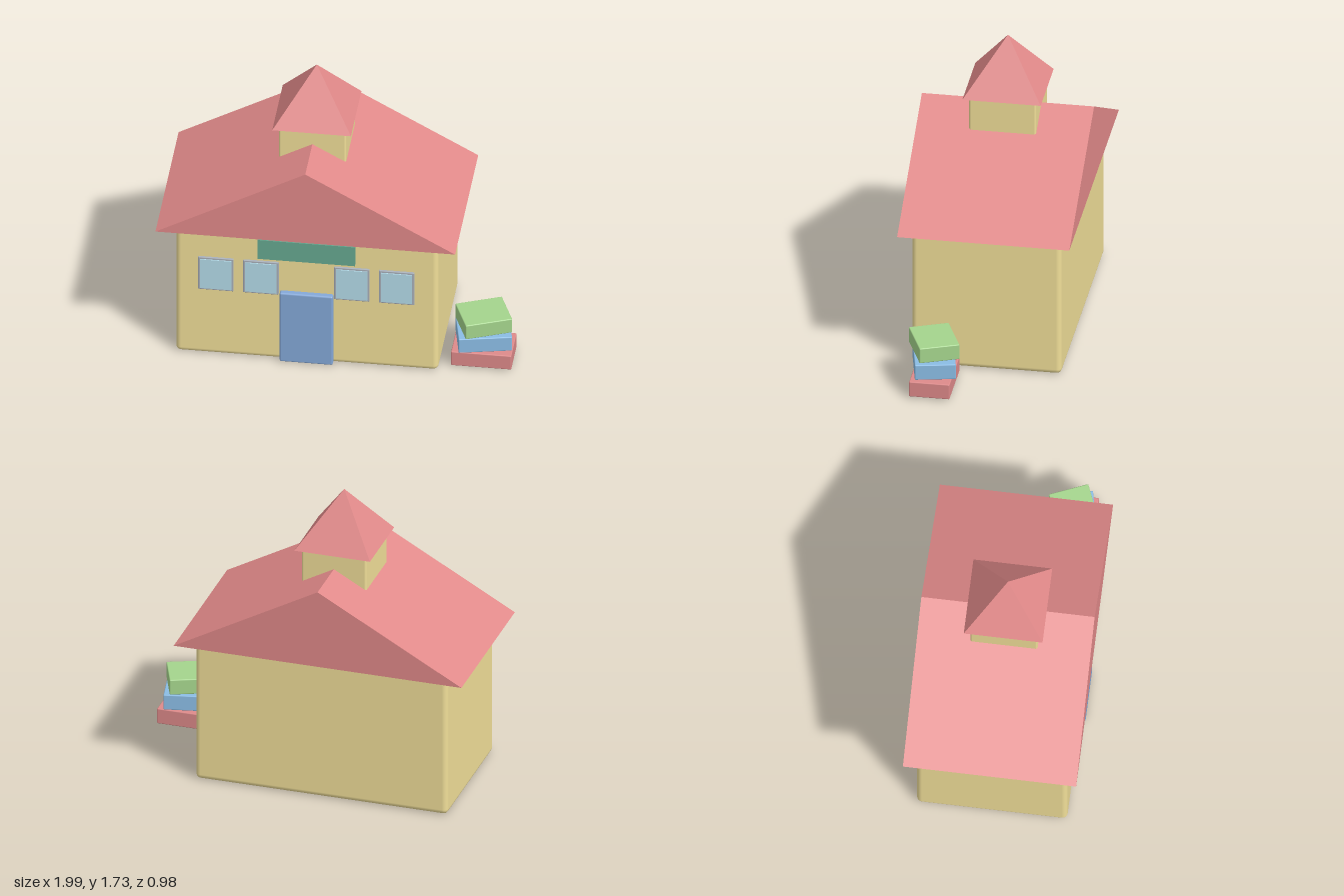
import * as THREE from 'three';
import { RoundedBoxGeometry } from 'three/addons/geometries/RoundedBoxGeometry.js';

const CX = -0.15; // centre line of the house
const mat = (color, flat = false) => new THREE.MeshStandardMaterial({ color, flatShading: flat });
const wallMat = mat(0xf0de98);
const roofMat = mat(0xe28a8a, true);
const doorMat = mat(0x84a8d8);
const signMat = mat(0x66a890);
const frameMat = mat(0xa9b0ba);
const glassMat = mat(0xb4dcea);

// Box given by its limits; r > 0 rounds the edges
function box(name, material, [x0, x1], [y0, y1], [z0, z1], r = 0) {
  const w = x1 - x0, h = y1 - y0, d = z1 - z0;
  const geo = r > 0 ? new RoundedBoxGeometry(w, h, d, 3, r) : new THREE.BoxGeometry(w, h, d);
  const mesh = new THREE.Mesh(geo, material);
  mesh.name = name;
  mesh.position.set((x0 + x1) / 2, (y0 + y1) / 2, (z0 + z1) / 2);
  return mesh;
}

// Solid gable roof with its ridge along z
function gableRoof() {
  const shape = new THREE.Shape();
  shape.moveTo(-0.845, 0);
  shape.lineTo(0.845, 0);
  shape.lineTo(0, 0.468);
  shape.closePath();
  const geo = new THREE.ExtrudeGeometry(shape, { depth: 0.976, bevelEnabled: false });
  geo.translate(CX, 0.85, -0.488);
  const mesh = new THREE.Mesh(geo, roofMat);
  mesh.name = 'roof';
  return mesh;
}

// Four-sided spire with edges on the diagonals
function spire() {
  const geo = new THREE.ConeGeometry(0.222 * Math.SQRT2, 0.315, 4);
  geo.rotateY(Math.PI / 4);
  const mesh = new THREE.Mesh(geo, roofMat);
  mesh.name = 'towerRoof';
  mesh.position.set(CX, 1.415 + 0.315 / 2, 0);
  return mesh;
}

// Thin frame with a slightly raised pane
function windowUnit(x, index) {
  const g = new THREE.Group();
  g.name = `window${index + 1}`;
  g.add(box('windowFrame', frameMat, [x - 0.1, x + 0.1], [0.443, 0.662], [0.415, 0.435], 0.004));
  g.add(box('windowPane', glassMat, [x - 0.088, x + 0.088], [0.455, 0.65], [0.42, 0.441]));
  return g;
}

// Stack of three books, each turned further than the one below
function bookStack() {
  const g = new THREE.Group();
  g.name = 'bookStack';
  const books = [
    { color: 0xde8a8a, width: 0.34, y: 0.055, turn: 0 },
    { color: 0x8abce4, width: 0.3, y: 0.162, turn: 12 },
    { color: 0xa4d48c, width: 0.27, y: 0.268, turn: 22.5 },
  ];
  books.forEach(({ color, width, y, turn }, i) => {
    const mesh = new THREE.Mesh(new RoundedBoxGeometry(width, 0.093, 0.23, 2, 0.006), mat(color));
    mesh.name = `book${i + 1}`;
    mesh.position.set(0.826, y, 0.256);
    mesh.rotation.y = THREE.MathUtils.degToRad(turn);
    g.add(mesh);
  });
  return g;
}

export function createModel() {
  const model = new THREE.Group();
  model.name = 'schoolhouse';

  // House body and roof
  model.add(box('walls', wallMat, [CX - 0.74, CX + 0.74], [0, 0.853], [-0.424, 0.424], 0.03));
  model.add(gableRoof());

  // Bell tower
  model.add(box('tower', wallMat, [CX - 0.19, CX + 0.19], [1.04, 1.42], [-0.19, 0.19], 0.012));
  model.add(spire());

  // Front details
  model.add(box('door', doorMat, [CX - 0.15, CX + 0.15], [0.004, 0.47], [0.41, 0.455], 0.01));
  model.add(box('signBoard', signMat, [CX - 0.275, CX + 0.275], [0.692, 0.82], [0.42, 0.452]));
  [-0.662, -0.408, 0.105, 0.358].forEach((x, i) => model.add(windowUnit(x, i)));

  model.add(bookStack());
  return model;
}
